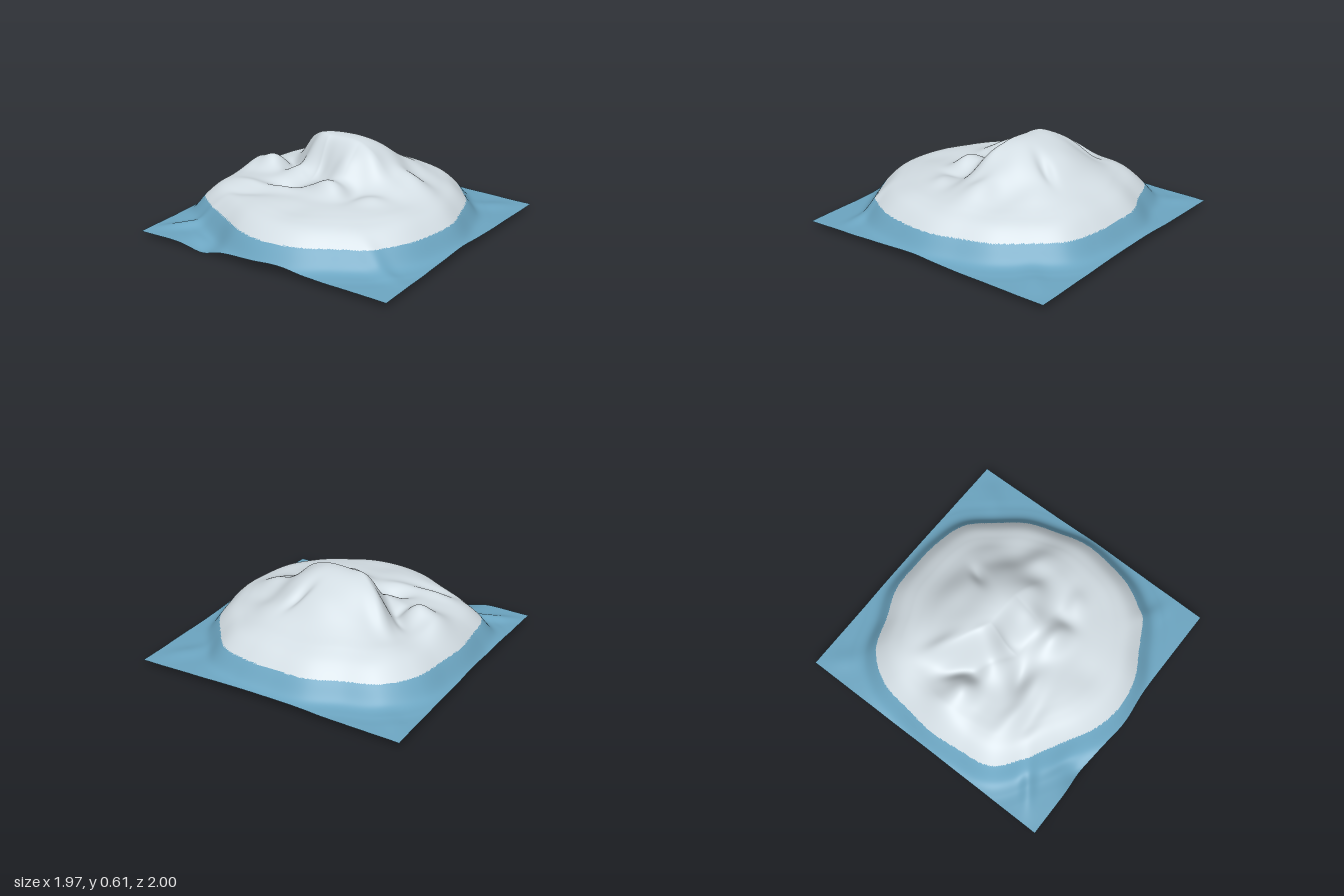
import * as THREE from 'three';

const N = 240; // grid cells per side
const SHORE = 0.185; // height where the colour changes

// Shore radius every 15 degrees, from +x towards +z
const OUTLINE = [.88, .89, .92, .925, .905, .92, .90, .885, .86, .89, .955, .91,
  .90, .90, .95, .955, .89, .89, .87, .885, .91, .87, .87, .855];
// Height against distance / shore radius, in steps of 0.1
const PROFILE = [.345, .345, .34, .335, .33, .325, .322, .315, .3, .265, .185, .078, .05, .044, .04, .036, .035];

// Hills and hollows on the land: x, z, height, long radius, short radius, turn
const HILLS = [
  // west knolls
  [-.57, .03, .09, .11, .10, 0],
  [-.42, .02, -.04, .07, .07, 0],
  [-.74, -.02, .05, .10, .16, 0],
  [-.30, .08, .05, .12, .09, .3],
  [-.25, .27, -.055, .12, .07, -.3],
  [-.22, .38, .02, .12, .06, 0],
  // ribs and hollow below the crest
  [-.25, -.01, .045, .08, .08, 0],
  [-.12, .05, -.035, .06, .07, 0],
  [.10, .10, .09, .11, .09, 0],
  [.10, .29, .085, .14, .09, .1],
  [.27, .28, -.025, .06, .10, 0],
  [.42, .25, .03, .10, .08, -.5],
  // east ridge
  [.27, 0, .04, .10, .10, 0],
  [.46, -.13, .09, .17, .11, .25],
  [.44, .04, .04, .14, .10, 0],
  [.30, -.26, .02, .12, .10, 0],
  // west spur and the valley beside it
  [-.43, -.26, .05, .13, .06, .75],
  [-.48, -.10, -.04, .12, .05, .7],
  // back slope
  [-.06, -.43, .045, .20, .12, 0],
  [.12, -.38, -.04, .10, .045, -1.1],
  [-.60, -.50, .015, .15, .15, 0],
  [.35, -.45, .02, .14, .09, .6],
  // front plain
  [-.48, .40, .025, .16, .06, .1],
  [-.45, .51, -.02, .20, .06, -.1],
  [.05, .62, -.01, .12, .12, 0],
];
// Swells of the outer slope
const SWELLS = [
  [-.46, .96, -.045, .13, .10, 0],
  [.05, 1, -.025, .30, .10, 0],
  [-1, 0, -.02, .10, .40, 0],
  [-.76, .74, .03, .16, .05, -.6],
  [-.45, .82, -.02, .14, .05, .3],
  [.74, .68, .025, .14, .06, .2],
  [.78, -.78, .015, .16, .08, -.8],
  [-.84, -.84, .01, .14, .08, .8],
];

const smooth = THREE.MathUtils.smoothstep;

// Uniform cubic spline through a list of values
function spline(list, t, cyclic) {
  const n = list.length, i = Math.floor(t), f = t - i;
  const at = k => list[cyclic ? (k + n) % n : THREE.MathUtils.clamp(k, 0, n - 1)];
  const a = at(i - 1), b = at(i), c = at(i + 1), d = at(i + 2);
  return b + 0.5 * f * (c - a + f * (2 * a - 5 * b + 4 * c - d + f * (3 * (b - c) + d - a)));
}

function bump([bx, bz, h, long, short, turn], x, z) {
  const dx = x - bx, dz = z - bz, c = Math.cos(turn), s = Math.sin(turn);
  const u = (dx * c + dz * s) / long, v = (dz * c - dx * s) / short;
  return h * Math.exp(-(u * u + v * v));
}

function heightAt(x, z) {
  const turn = (Math.atan2(z, x) / (Math.PI * 2) + 1) % 1;
  const d = Math.hypot(x, z) / spline(OUTLINE, turn * 24, true);
  let y = spline(PROFILE, Math.min(d * 10, 15.99), false);

  // Central massif: gentle to the back, steep along its front crest
  const crest = .06 - .6 * Math.max(0, -.14 - x) + .2 * Math.max(0, x - .12);
  const cliff = 1 - smooth(z, crest - .13, crest + .11);
  let land = .27 * Math.exp(-(((x + .06) / .38) ** 4) - ((z + .12) / .35) ** 2) * cliff;
  for (const hill of HILLS) land += bump(hill, x, z);
  land += .004 * Math.sin(9 * x + 5 * z) * Math.sin(11 * z - 4 * x + 1);
  y += land * (1 - smooth(d, .78, 1.02));

  for (const swell of SWELLS) y += bump(swell, x, z);
  return Math.max(0, y);
}

export function createModel() {
  const group = new THREE.Group();
  const land = new THREE.MeshStandardMaterial({ color: 0xd3dde3, side: THREE.DoubleSide });
  land.name = 'pale grey';
  const water = new THREE.MeshStandardMaterial({ color: 0x6ca5c1, side: THREE.DoubleSide });
  water.name = 'blue';

  // Square sheet raised by the height rule
  const sheet = new THREE.PlaneGeometry(1.97, 1.97, N, N).rotateX(-Math.PI / 2);
  const pos = sheet.attributes.position;
  for (let i = 0; i < pos.count; i++) {
    const x = pos.getX(i), z = pos.getZ(i) - .015;
    // The front edge bulges outward in the middle
    const bulge = .03 * Math.exp(-((x / .2) ** 2)) - .015 * Math.exp(-(((x + .46) / .12) ** 2));
    pos.setXYZ(i, x, heightAt(x, z), z + bulge * smooth(z, .75, .97));
  }
  sheet.computeVertexNormals();

  // Share the faces between the two colours by height
  const high = [], low = [], index = sheet.index.array;
  for (let i = 0; i < index.length; i += 3) {
    const face = [index[i], index[i + 1], index[i + 2]];
    const mean = face.reduce((sum, k) => sum + pos.getY(k), 0) / 3;
    (mean > SHORE ? high : low).push(...face);
  }
  for (const [name, faces, material] of [['landSurface', high, land], ['outerSlope', low, water]]) {
    const geometry = new THREE.BufferGeometry();
    geometry.setAttribute('position', pos);
    geometry.setAttribute('normal', sheet.attributes.normal);
    geometry.setIndex(faces);
    const mesh = new THREE.Mesh(geometry, material);
    mesh.name = name;
    group.add(mesh);
  }
  group.name = 'terrain';
  return group;
}
